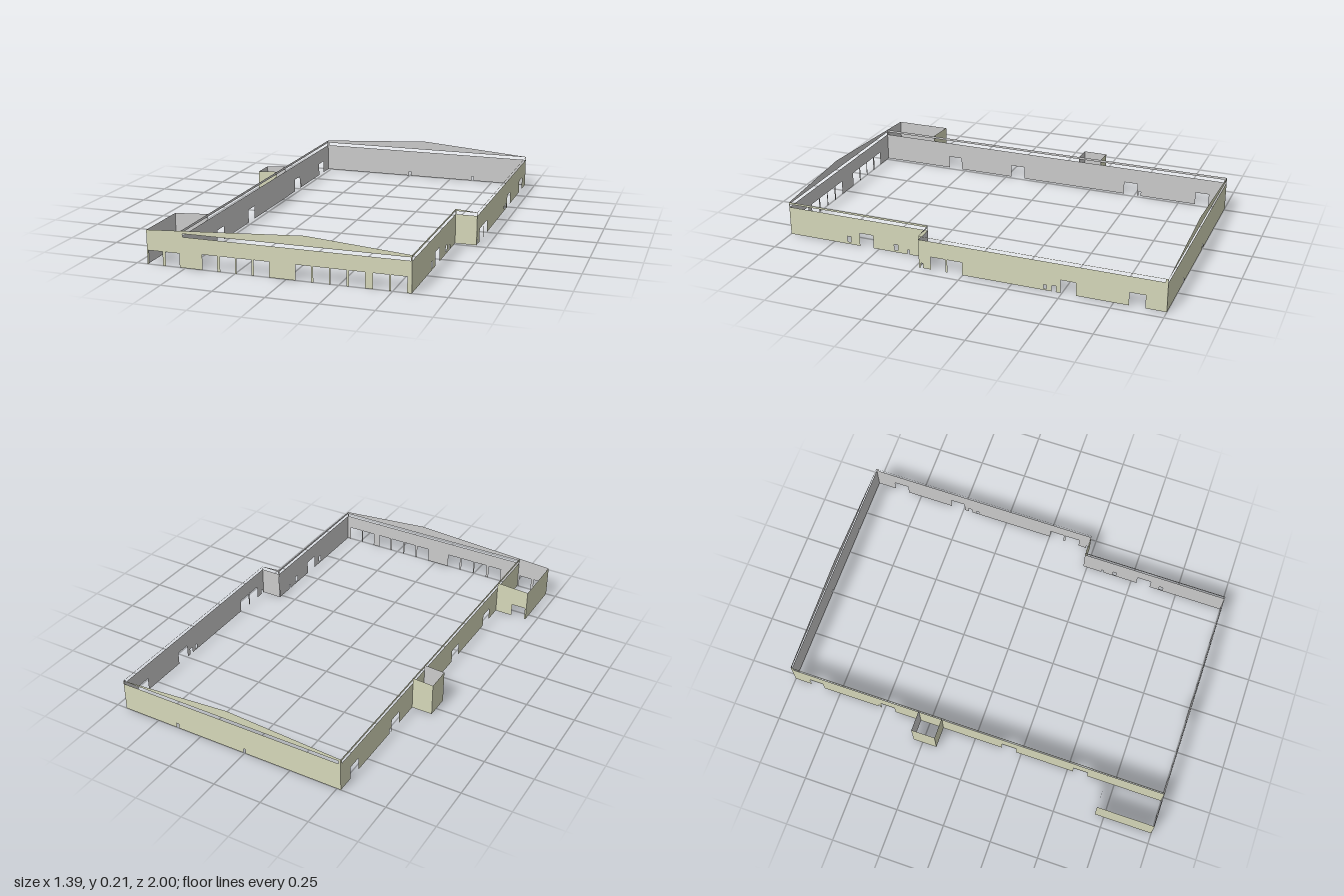
import * as THREE from 'three';

// Outside and inside faces of the thin walls
const outside = new THREE.MeshStandardMaterial({ color: 0xd6d8ba });
const inside = new THREE.MeshStandardMaterial({ color: 0xcccccc });

const RIDGE_X = 0.09;
const DOOR = 0.075;
const THICKNESS = 0.001;

// Height of the low gable roof line at a given x
const roofHeight = x => x < RIDGE_X
  ? 0.167 + (0.047 * (x + 0.695)) / (RIDGE_X + 0.695)
  : 0.214 - (0.047 * (x - RIDGE_X)) / (0.695 - RIDGE_X);

function rectHole(u0, u1, y0, y1) {
  return new THREE.Path([
    new THREE.Vector2(u0, y0), new THREE.Vector2(u0, y1),
    new THREE.Vector2(u1, y1), new THREE.Vector2(u1, y0),
  ]);
}

// Copy of a flat wall face, turned round to face indoors
function turnedRound(geometry) {
  const copy = geometry.clone();
  copy.setIndex(Array.from(geometry.index.array).reverse());
  copy.computeVertexNormals();
  return copy.translate(0, 0, -THICKNESS);
}

// A thin wall from a to b ([x, z], left to right seen from outside).
// Openings are in world x or z: doors [from, to, height] cut up from the ground,
// windows [from, to, bottom, top], slot [from, to] is the strip under the eaves.
function wall(name, a, b, { doors = [], windows = [], slot = null } = {}) {
  const dx = b[0] - a[0], dz = b[1] - a[1];
  const axis = Math.abs(dx) > Math.abs(dz) ? 0 : 1;
  const length = Math.hypot(dx, dz);
  const span = (p, q) => [Math.abs(p - a[axis]), Math.abs(q - a[axis])].sort((m, n) => m - n);

  const shape = new THREE.Shape();
  shape.moveTo(0, 0);
  doors.map(([p, q, h = DOOR]) => [...span(p, q), h])
    .sort((m, n) => m[0] - n[0])
    .forEach(([u0, u1, h]) => {
      shape.lineTo(u0, 0);
      shape.lineTo(u0, h);
      shape.lineTo(u1, h);
      shape.lineTo(u1, 0);
    });
  shape.lineTo(length, 0);
  shape.lineTo(length, roofHeight(b[0]));
  if ((a[0] - RIDGE_X) * (b[0] - RIDGE_X) < 0) {
    shape.lineTo(Math.abs(RIDGE_X - a[0]), roofHeight(RIDGE_X));
  }
  shape.lineTo(0, roofHeight(a[0]));
  shape.closePath();

  windows.forEach(([p, q, y0, y1]) => shape.holes.push(rectHole(...span(p, q), y0, y1)));
  if (slot) shape.holes.push(rectHole(...span(...slot), 0.149, 0.165));

  const face = new THREE.ShapeGeometry(shape);
  const outer = new THREE.Mesh(face, outside);
  outer.name = name + 'Outside';
  const inner = new THREE.Mesh(turnedRound(face), inside);
  inner.name = name + 'Inside';

  const group = new THREE.Group();
  group.name = name;
  group.add(outer, inner);
  group.position.set(a[0], 0, a[1]);
  group.rotation.y = Math.atan2(-dz, dx);
  return group;
}

export function createModel() {
  const model = new THREE.Group();
  model.name = 'warehouseWalls';

  const L = -0.52, R = 0.587, FAR = 0.695, STEP = 0.23; // main wall lines
  const ROOM_X = -0.695, ROOM_Z = 0.703;                // corner room
  const BAY_X = -0.627, BAY = [-0.3, -0.175];           // small side bay

  // Front wall with loading doors in groups
  const frontDoors = [[-0.687, -0.615, 0.068], [-0.6, -0.529, 0.068]];
  [-0.413, -0.324, -0.242, -0.157, 0.045, 0.13, 0.212, 0.298, 0.41, 0.492]
    .forEach(x => frontDoors.push([x, x + 0.074]));
  model.add(wall('frontWall', [ROOM_X, 1], [R, 1], { doors: frontDoors, slot: [-0.51, 0.582] }));

  // Stepped wall on the +x side
  model.add(wall('leftFrontWall', [R, 1], [R, STEP], {
    doors: [[0.605, 0.53, 0.07], [0.343, 0.332, 0.025]],
    windows: [[0.675, 0.655, 0.012, 0.042], [0.415, 0.395, 0.012, 0.042]],
    slot: [0.998, 0.232],
  }));
  model.add(wall('stepWall', [R, STEP], [FAR, STEP], { slot: [0.591, 0.693] }));
  model.add(wall('leftBackWall', [FAR, STEP], [FAR, -1], {
    doors: [[0.22, 0.209, 0.025], [0.167, 0.09, 0.067], [0.08, 0.003, 0.067],
      [-0.45, -0.47, 0.032], [-0.493, -0.568, 0.067], [-0.823, -0.9, 0.067]],
    windows: [[-0.41, -0.425, 0.008, 0.028]],
    slot: [0.228, -0.987],
  }));

  // Back wall with two tiny openings at the ground
  model.add(wall('backWall', [FAR, -1], [L, -1], {
    doors: [[0.39, 0.378, 0.025], [0.006, -0.006, 0.025]],
    slot: [0.693, -0.51],
  }));

  // Long wall on the -x side
  model.add(wall('rightWall', [L, -1], [L, 1], {
    doors: [[-0.91, -0.838, 0.068], [-0.535, -0.523, 0.025], [-0.515, -0.44, 0.068],
      [0.145, 0.222, 0.068], [0.53, 0.605, 0.067]],
    slot: [-0.987, 0.997],
  }));

  // Corner room
  model.add(wall('roomSideWall', [ROOM_X, ROOM_Z], [ROOM_X, 1]));
  model.add(wall('roomBackWall', [L, ROOM_Z], [ROOM_X, ROOM_Z], { doors: [[-0.687, -0.612, 0.068]] }));

  // Small side bay
  model.add(wall('bayBackWall', [L, BAY[0]], [BAY_X, BAY[0]]));
  model.add(wall('baySideWall', [BAY_X, BAY[0]], [BAY_X, BAY[1]]));
  model.add(wall('bayFrontWall', [BAY_X, BAY[1]], [L, BAY[1]]));

  return model;
}
